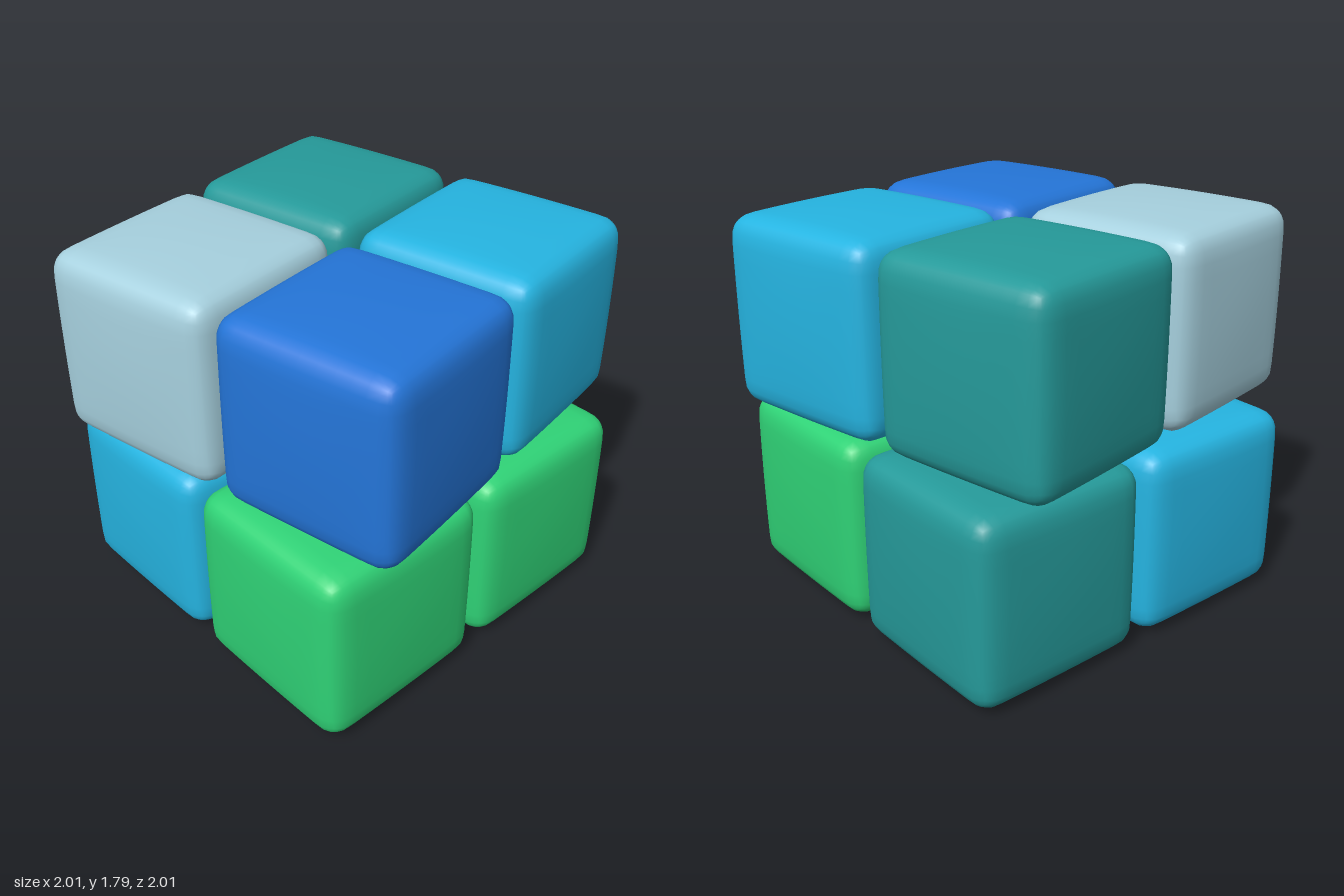
import * as THREE from 'three';
import { mergeVertices } from 'three/addons/utils/BufferGeometryUtils.js';

const PITCH = 0.895; // distance between block centres
const HALF = 0.4275; // half a block before its faces swell
const RADIUS = 0.1;
const BULGE = 0.02;

// Rounded cube with gently pillowed faces
function pillowCube() {
  const geo = new THREE.BoxGeometry(2, 2, 2, 16, 16, 16);
  geo.deleteAttribute('uv');
  geo.deleteAttribute('normal');
  const pos = geo.attributes.position;
  const p = new THREE.Vector3();
  const core = new THREE.Vector3();
  const inner = HALF - RADIUS;
  const spread = (t) => HALF * Math.sin((t * Math.PI) / 2); // more points near the edges
  for (let i = 0; i < pos.count; i++) {
    p.fromBufferAttribute(pos, i);
    p.set(spread(p.x), spread(p.y), spread(p.z));
    core.copy(p).clampScalar(-inner, inner);
    p.sub(core).setLength(RADIUS).add(core);
    const [u, v, w] = p.toArray().map((c) => c / HALF);
    const fall = (a, b) => BULGE * Math.max(0, 1 - a * a) * Math.max(0, 1 - b * b);
    pos.setXYZ(i, p.x + u * fall(v, w), p.y + v * fall(u, w), p.z + w * fall(u, v));
  }
  const merged = mergeVertices(geo, 1e-5);
  merged.computeVertexNormals();
  return merged;
}

function material(name, color) {
  const m = new THREE.MeshStandardMaterial({ color });
  m.name = name;
  return m;
}

export function createModel() {
  const model = new THREE.Group();
  model.name = 'twistedCubePuzzle';
  const green = material('green', 0x2fd276);
  const sky = material('skyBlue', 0x25b4e1);
  const teal = material('teal', 0x259a9a);
  const blue = material('blue', 0x2475d8);
  const pale = material('paleBlue', 0xa6d0de);
  const block = pillowCube();

  // Four blocks per layer: front right, front left, back right, back left
  function layer(name, y, turn, colours) {
    const group = new THREE.Group();
    group.name = name;
    group.position.y = y;
    group.rotation.y = turn;
    const places = [['FrontRight', -1, 1], ['FrontLeft', 1, 1], ['BackRight', -1, -1], ['BackLeft', 1, -1]];
    places.forEach(([place, x, z], i) => {
      const mesh = new THREE.Mesh(block, colours[i]);
      mesh.name = 'block' + place;
      mesh.position.set((x * PITCH) / 2, 0, (z * PITCH) / 2);
      group.add(mesh);
    });
    model.add(group);
  }

  layer('lowerLayer', PITCH / 2, 0, [green, green, sky, teal]);
  layer('upperLayer', PITCH * 1.5, THREE.MathUtils.degToRad(10), [blue, sky, pale, teal]);
  return model;
}
